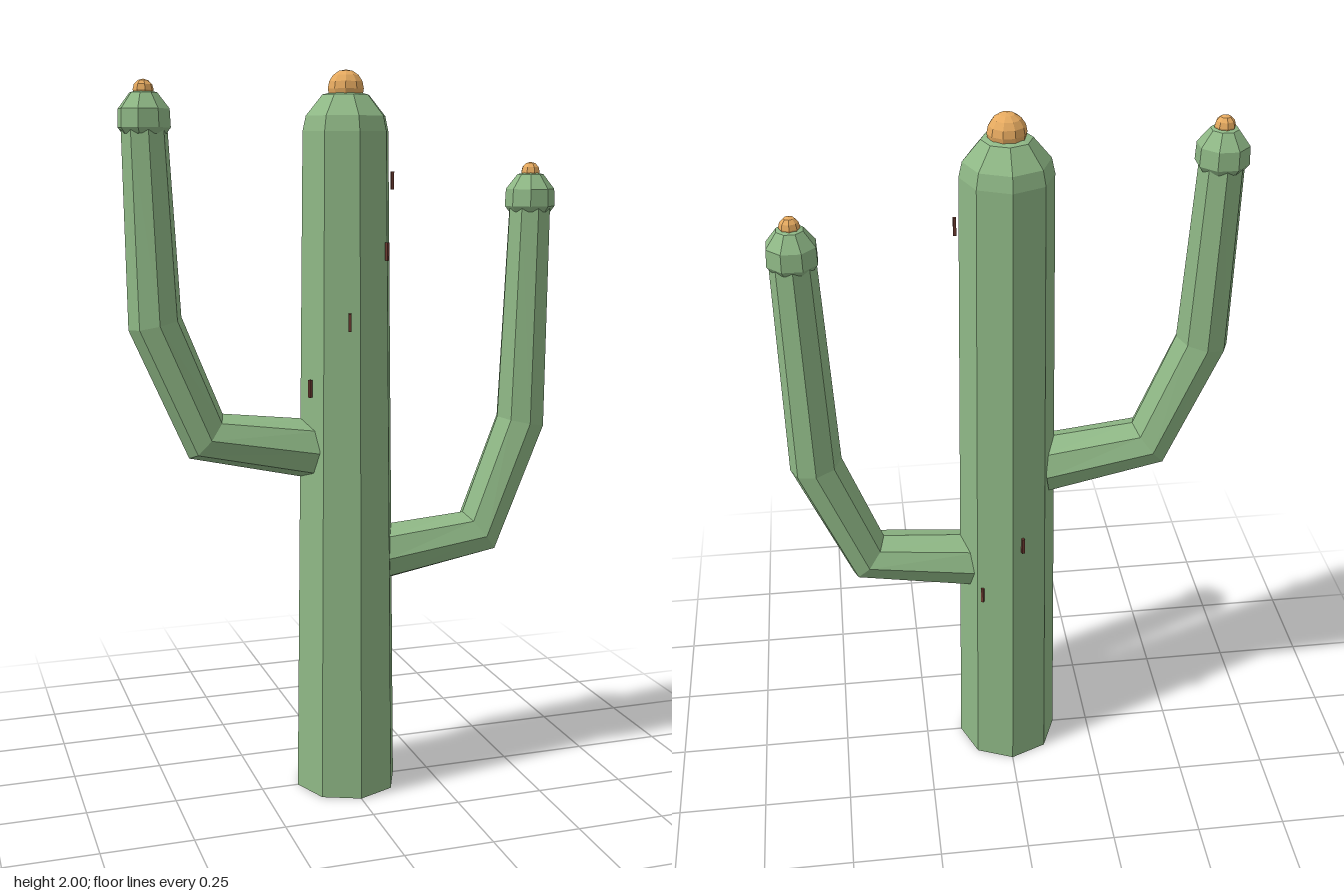
import * as THREE from 'three';

const green = new THREE.MeshStandardMaterial({ color: 0x8fb886, flatShading: true });
green.name = 'cactusGreen';
const orange = new THREE.MeshStandardMaterial({ color: 0xe6aa60, flatShading: true });
orange.name = 'budOrange';
const brown = new THREE.MeshStandardMaterial({ color: 0x6b3a30, flatShading: true });
brown.name = 'spineBrown';

function addMesh(parent, name, geometry, material, x = 0, y = 0, z = 0) {
  const mesh = new THREE.Mesh(geometry, material);
  mesh.name = name;
  mesh.position.set(x, y, z);
  parent.add(mesh);
  return mesh;
}

function lathe(points, sides) {
  return new THREE.LatheGeometry(points.map(([r, y]) => new THREE.Vector2(r, y)), sides);
}

// Eight-sided tapering tube along a path in the xy plane; each station is [x, y, radius]
function armGeometry(stations, sides = 8) {
  const centres = stations.map(([x, y]) => new THREE.Vector3(x, y, 0));
  const positions = [];
  const index = [];
  stations.forEach(([, , r], i) => {
    const before = centres[Math.max(i - 1, 0)];
    const after = centres[Math.min(i + 1, centres.length - 1)];
    const inDir = centres[i].clone().sub(before).normalize();
    const outDir = after.clone().sub(centres[i]).normalize();
    const t = inDir.add(outDir).normalize();
    for (let j = 0; j < sides; j++) {
      const a = (j / sides) * Math.PI * 2;
      const n = Math.cos(a) * r;
      positions.push(centres[i].x - t.y * n, centres[i].y + t.x * n, Math.sin(a) * r);
    }
  });
  for (let i = 0; i < stations.length - 1; i++) {
    for (let j = 0; j < sides; j++) {
      const a = i * sides + j;
      const b = i * sides + ((j + 1) % sides);
      index.push(a, b, a + sides, b, b + sides, a + sides);
    }
  }
  // End caps
  const last = (stations.length - 1) * sides;
  for (let j = 1; j < sides - 1; j++) {
    index.push(0, j + 1, j, last, last + j, last + j + 1);
  }
  const geometry = new THREE.BufferGeometry();
  geometry.setAttribute('position', new THREE.Float32BufferAttribute(positions, 3));
  geometry.setIndex(index);
  geometry.computeVertexNormals();
  return geometry;
}

function addArm(parent, name, stations) {
  const arm = new THREE.Group();
  arm.name = name;
  parent.add(arm);
  const [x, y] = stations[stations.length - 1];
  addMesh(arm, name + 'Stem', armGeometry(stations), green);
  // Rounded tip, turned so a flat side faces front
  const tip = lathe([[0, -0.012], [0.058, -0.012], [0.069, 0.003], [0.067, 0.05], [0.036, 0.09], [0, 0.1]], 8);
  addMesh(arm, name + 'Tip', tip, green, x, y).rotation.y = Math.PI / 8;
  addMesh(arm, name + 'Bud', new THREE.SphereGeometry(0.027, 8, 6), orange, x, y + 0.097);
}

export function createModel() {
  const cactus = new THREE.Group();
  cactus.name = 'cactus';

  // Trunk with a domed top and flower bud
  addMesh(cactus, 'trunk', lathe([[0, 0], [0.145, 0], [0.12, 1.84], [0.111, 1.88], [0.065, 1.935], [0, 1.95]], 8), green);
  addMesh(cactus, 'trunkBud', new THREE.SphereGeometry(0.05, 10, 8), orange, 0, 1.95);

  // Arms
  addArm(cactus, 'rightArm', [[-0.1, 0.985, 0.082], [-0.395, 1.037, 0.075], [-0.525, 1.345, 0.072], [-0.54, 1.845, 0.06]]);
  addArm(cactus, 'leftArm', [[0.1, 0.672, 0.08], [0.398, 0.712, 0.075], [0.525, 1.03, 0.072], [0.54, 1.635, 0.06]]);

  // Spines winding down the trunk
  for (let i = 0; i < 7; i++) {
    const a = (i / 7) * Math.PI * 2;
    const spine = addMesh(cactus, 'spine', new THREE.BoxGeometry(0.008, 0.048, 0.008), brown,
      Math.cos(a) * 0.132, 1.71 - i * 0.183, Math.sin(a) * 0.132);
    spine.rotation.y = -a;
  }
  return cactus;
}
